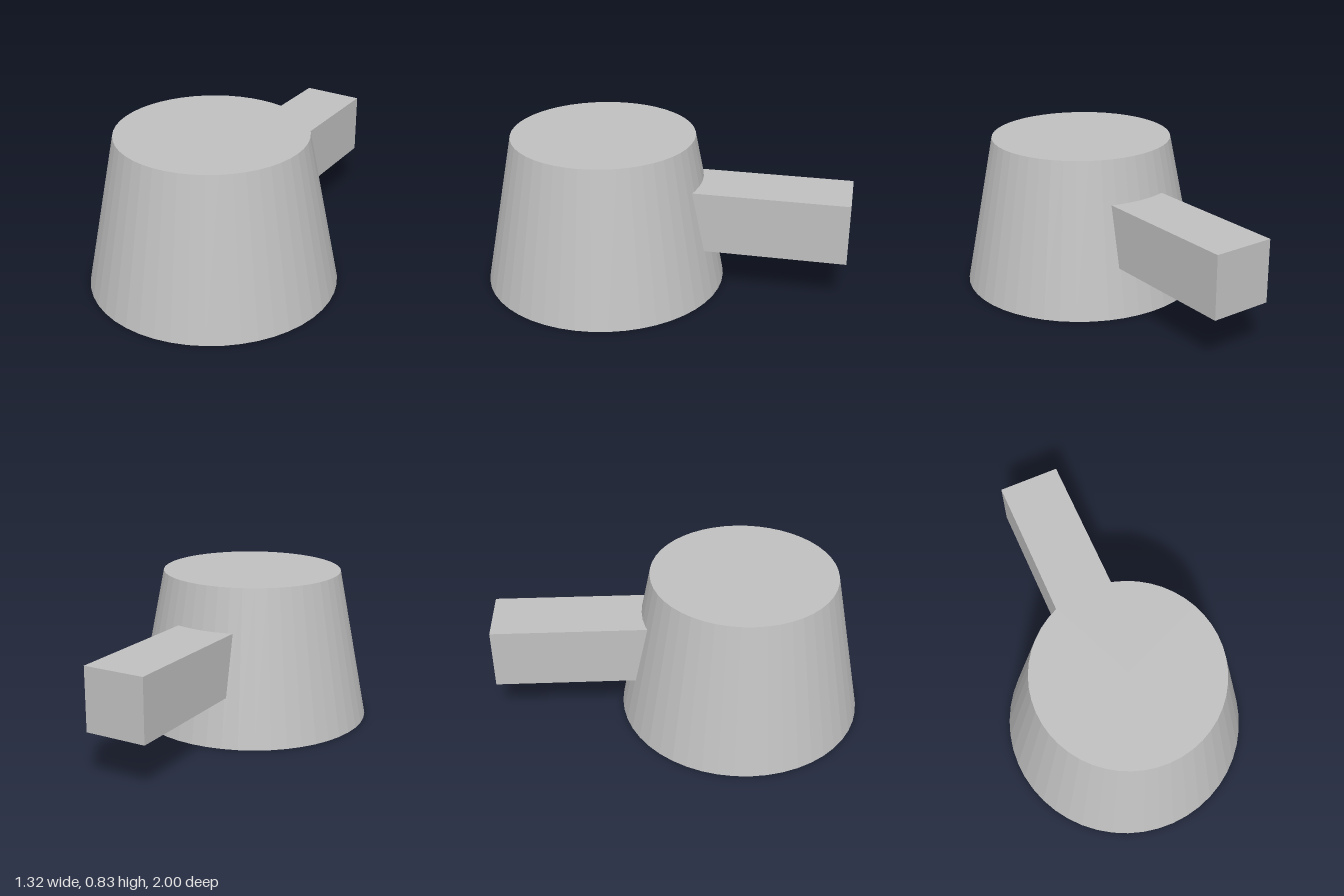
import * as THREE from 'three';

export function createModel() {
  const model = new THREE.Group();
  model.name = 'taperedBodyWithHandle';

  const grey = new THREE.MeshStandardMaterial({ color: 0xc0c0c0, flatShading: true });
  grey.name = 'light grey';

  // Tapered round body, closed at both ends
  const height = 0.834;
  const body = new THREE.Mesh(new THREE.CylinderGeometry(0.498, 0.662, height, 48), grey);
  body.name = 'body';
  body.position.set(0, height / 2, 0.338);
  model.add(body);

  // Square bar handle, its inner end buried in the body
  const back = -1, inner = -0.12, bottom = 0.267, side = 0.333;
  const handle = new THREE.Mesh(new THREE.BoxGeometry(side, side, inner - back), grey);
  handle.name = 'handle';
  handle.position.set(0, bottom + side / 2, (inner + back) / 2);
  model.add(handle);

  return model;
}
